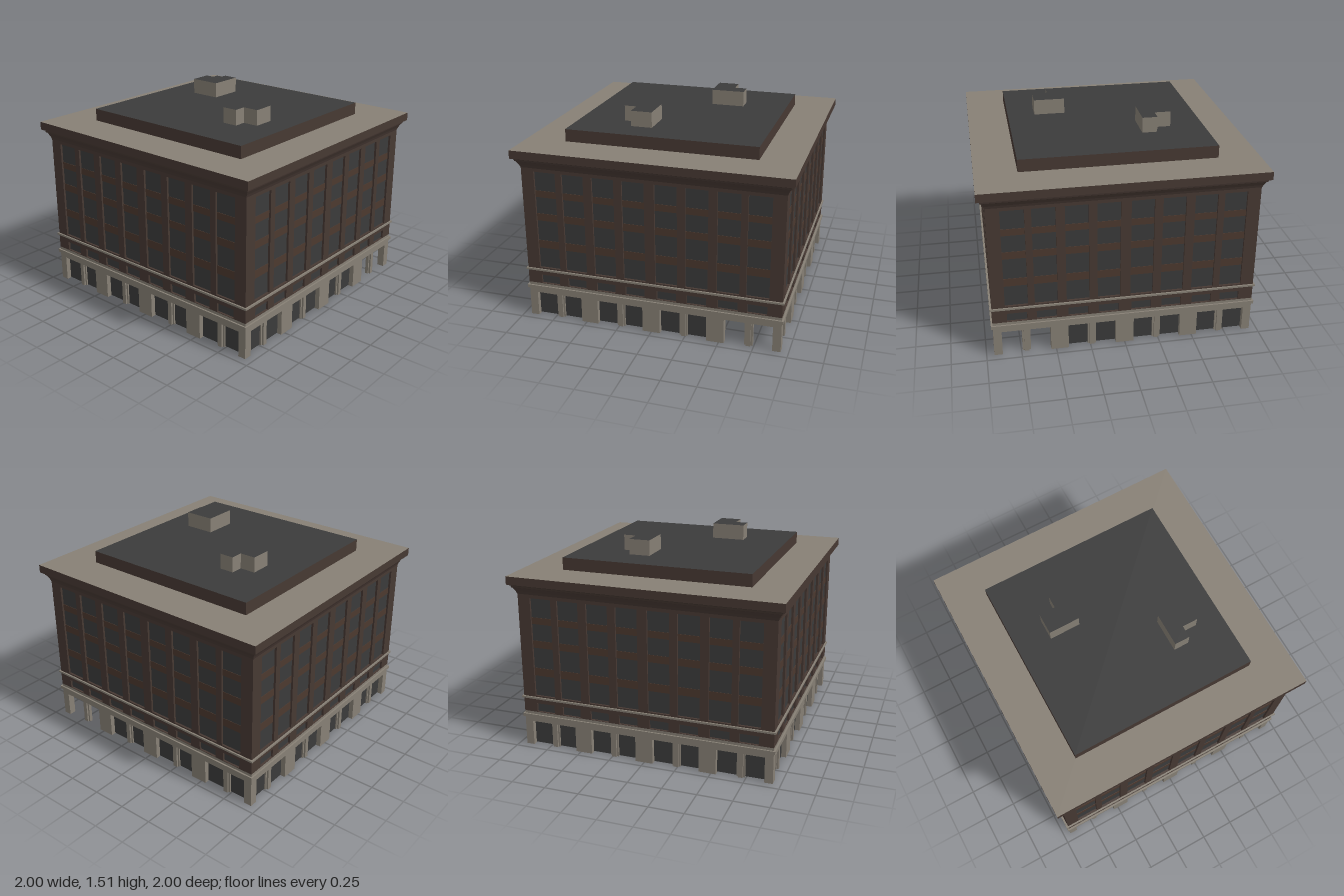
import * as THREE from 'three';

const mat = (name, color) => {
  const m = new THREE.MeshStandardMaterial({ color });
  m.name = name;
  return m;
};

export function createModel() {
  const stone = mat('stone', 0x878075);
  const brick = mat('brick', 0x473933);
  const spandrelBrown = mat('spandrelBrown', 0x4c392f);
  const dark = mat('darkGlassAndRoof', 0x3b3b3b);

  const model = new THREE.Group();
  model.name = 'building';
  const HALF = 0.945; // half width of the main walls

  const add = (parent, name, geo, material) => {
    const m = new THREE.Mesh(geo, material);
    m.name = name;
    parent.add(m);
    return m;
  };
  const box = (parent, name, material, x0, x1, y0, y1, z0, z1) => {
    const m = add(parent, name, new THREE.BoxGeometry(x1 - x0, y1 - y0, z1 - z0), material);
    m.position.set((x0 + x1) / 2, (y0 + y1) / 2, (z0 + z1) / 2);
    return m;
  };
  const polygon = (pts) => new THREE.Shape(pts.map(([x, y]) => new THREE.Vector2(x, y)));
  const rect = (x0, x1, y0, y1) => polygon([[x0, y0], [x1, y0], [x1, y1], [x0, y1]]);
  const extrude = (shape, depth) => new THREE.ExtrudeGeometry(shape, { depth, bevelEnabled: false });

  // Horizontal square band that runs round the whole building
  const band = (name, material, outer, inner, y0, y1) => {
    const s = rect(-outer, outer, -outer, outer);
    s.holes.push(rect(-inner, inner, -inner, inner));
    const geo = extrude(s, y1 - y0);
    geo.rotateX(-Math.PI / 2);
    geo.translate(0, y0, 0);
    add(model, name, geo, material);
  };

  // Window and shop front layout, shared by all four sides
  const centres = [-0.77, -0.561, -0.337, -0.117, 0.117, 0.337, 0.561, 0.77];
  const bays = [[-0.885, -0.537], [-0.41, -0.065], [0.065, 0.41], [0.537, 0.885]];
  const spandrels = [[0.555, 0.615], [0.77, 0.825], [0.95, 1.0]];
  const tall = { w: 0.081, y0: 0.4, y1: 1.145 };
  const small = { w: 0.071, y0: 0.27, y1: 0.34 };
  const BASE = 0.05, WALL = 0.03;

  const facade = (name, openBay) => {
    const side = new THREE.Group();
    side.name = name;

    // Brick wall with tall and small windows
    const wall = rect(-HALF + WALL, HALF, 0.27, 1.245);
    for (const c of centres) {
      wall.holes.push(rect(c - tall.w, c + tall.w, tall.y0, tall.y1));
      wall.holes.push(rect(c - small.w, c + small.w, small.y0 + 0.003, small.y1));
    }
    add(side, 'brickWall', extrude(wall, WALL), brick).position.z = HALF - WALL;

    for (const c of centres) {
      const z = HALF - 0.024;
      box(side, 'tallWindow', dark, c - tall.w, c + tall.w, tall.y0, tall.y1, z, z + 0.008);
      box(side, 'smallWindow', dark, c - small.w, c + small.w, small.y0, small.y1, z, z + 0.008);
      for (const [y0, y1] of spandrels)
        box(side, 'spandrel', spandrelBrown, c - tall.w, c + tall.w, y0, y1, z - 0.003, z + 0.011);
    }

    // Stone ground floor with openings down to the pavement
    const outline = [[-HALF + BASE, 0]];
    for (const [a, b] of bays) outline.push([a, 0], [a, 0.19], [b, 0.19], [b, 0]);
    outline.push([HALF, 0], [HALF, 0.27], [-HALF + BASE, 0.27]);
    add(side, 'stoneBase', extrude(polygon(outline), BASE), stone).position.z = HALF - BASE;

    bays.forEach(([a, b], i) => {
      const m = (a + b) / 2;
      box(side, 'shopPier', stone, m - 0.03, m + 0.03, 0, 0.19, HALF - 0.05, HALF - 0.025);
      box(side, 'shopPierFace', stone, m - 0.017, m + 0.017, 0, 0.19, HALF - 0.025, HALF - 0.012);
      if (i === openBay) return;
      box(side, 'shopWindow', dark, a, b, 0.005, 0.19, HALF - 0.044, HALF - 0.036);
    });
    return side;
  };

  // Four sides; the bays at the back left corner are open
  [['frontSide', -1], ['leftSide', 3], ['backSide', 0], ['rightSide', -1]].forEach(([name, open], i) => {
    const side = facade(name, open);
    side.rotation.y = i * Math.PI / 2;
    model.add(side);
  });

  // Stone string courses
  band('lowerBand', stone, 0.957, 0.93, 0.226, 0.25);
  band('upperBand', stone, 0.957, 0.93, 0.376, 0.39);

  // Cornice: flaring square steps under a flat slab
  const profile = [[0.946, 1.17], [0.953, 1.19], [0.967, 1.217], [0.975, 1.222], [0.978, 1.235], [1, 1.245]];
  for (let i = 0; i < profile.length - 1; i++) {
    const [r0, y0] = profile[i], [r1, y1] = profile[i + 1];
    let geo = new THREE.CylinderGeometry(r1 * Math.SQRT2, r0 * Math.SQRT2, y1 - y0, 4, 1, true);
    geo.rotateY(Math.PI / 4);
    geo = geo.toNonIndexed();
    geo.computeVertexNormals();
    add(model, 'corniceMoulding', geo, brick).position.y = (y0 + y1) / 2;
  }
  box(model, 'corniceSlab', [brick, brick, stone, brick, brick, brick], -1, 1, 1.245, 1.305, -1, 1);

  // Raised roof
  box(model, 'raisedRoof', [brick, brick, dark, brick, brick, brick], -0.703, 0.703, 1.305, 1.396, -0.703, 0.703);

  // L-shaped roof huts, given as x and z outlines
  const huts = [
    [[-0.457, -0.13], [-0.227, -0.13], [-0.227, -0.377], [-0.337, -0.377], [-0.337, -0.285], [-0.457, -0.285]],
    [[0.272, 0.368], [0.385, 0.368], [0.385, 0.278], [0.502, 0.278], [0.502, 0.122], [0.272, 0.122]],
  ];
  for (const pts of huts) {
    const geo = extrude(polygon(pts.map(([x, z]) => [x, -z])), 0.115);
    geo.rotateX(-Math.PI / 2);
    add(model, 'roofHut', geo, [dark, stone]).position.y = 1.395;
  }

  return model;
}
